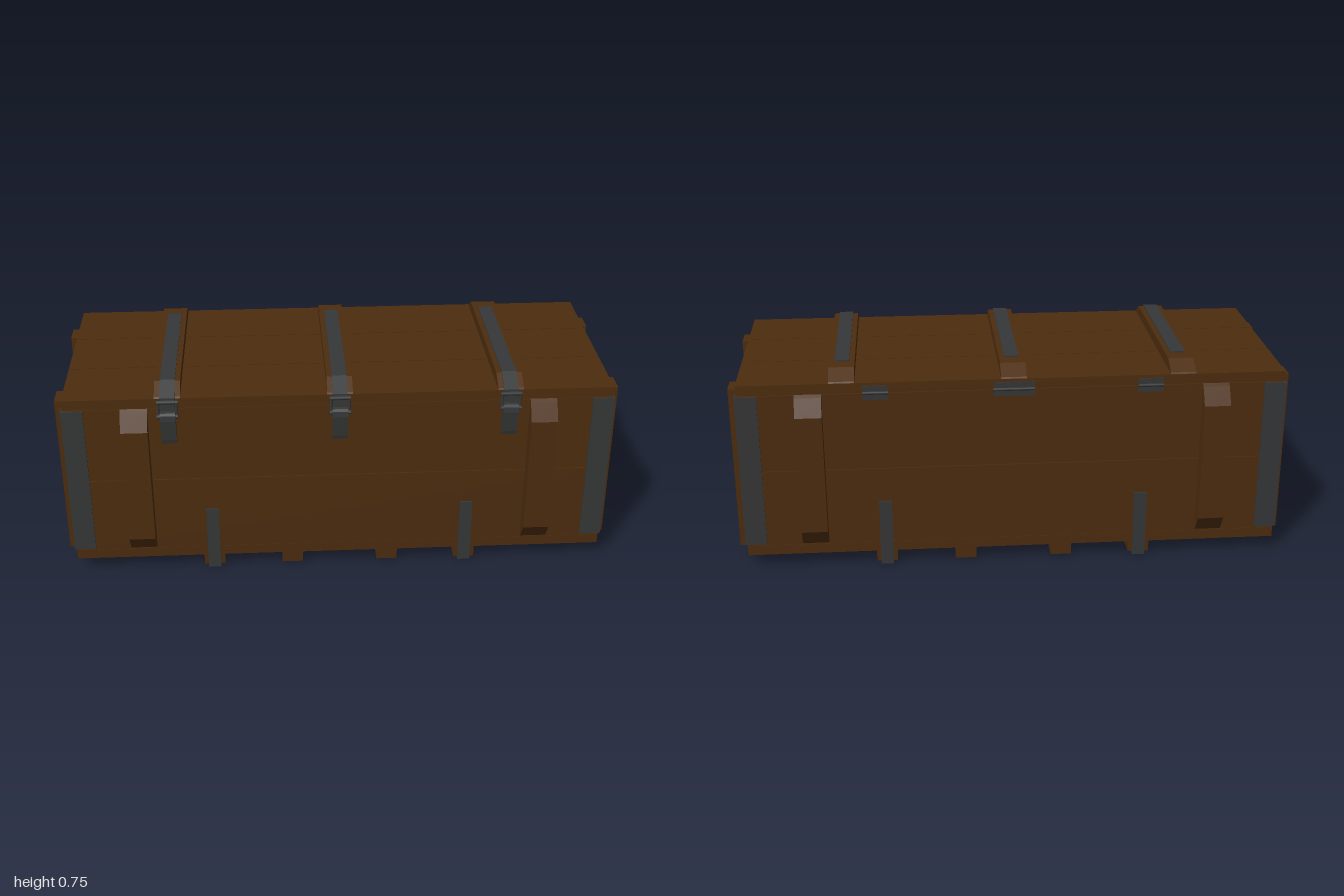
import * as THREE from 'three';

export function createModel() {
  const crate = new THREE.Group();
  crate.name = 'crate';
  const wood = new THREE.MeshStandardMaterial({ color: 0x4d2d0e });
  wood.name = 'brown wood';
  const metal = new THREE.MeshStandardMaterial({ color: 0x363738 });
  metal.name = 'dark metal';

  function add(name, geometry, material, parent = crate) {
    const mesh = new THREE.Mesh(geometry, material);
    mesh.name = name;
    parent.add(mesh);
    return mesh;
  }
  // Box given by its min and max on each axis
  function box(name, material, x0, x1, y0, y1, z0, z1, parent) {
    const mesh = add(name, new THREE.BoxGeometry(x1 - x0, y1 - y0, z1 - z0), material, parent);
    mesh.position.set((x0 + x1) / 2, (y0 + y1) / 2, (z0 + z1) / 2);
    return mesh;
  }
  // [z, y] outline extruded along x, centred on x
  function profile(name, material, points, width, x, parent) {
    const shape = new THREE.Shape(points.map(p => new THREE.Vector2(p[0], p[1])));
    const g = new THREE.ExtrudeGeometry(shape, { depth: width, bevelEnabled: false });
    g.translate(0, 0, -width / 2).rotateY(-Math.PI / 2);
    const mesh = add(name, g, material, parent);
    mesh.position.x = x;
    return mesh;
  }
  function rod(name, length, radius, x, y, z, axis, parent) {
    const g = new THREE.CylinderGeometry(radius, radius, length, 12);
    if (axis === 'x') g.rotateZ(Math.PI / 2);
    if (axis === 'z') g.rotateX(Math.PI / 2);
    const mesh = add(name, g, metal, parent);
    mesh.position.set(x, y, z);
    return mesh;
  }

  // Box body: two courses of boards with a fine seam
  box('lowerBoards', wood, -0.965, 0.965, 0.09, 0.38, -0.37, 0.37);
  box('upperBoards', wood, -0.965, 0.965, 0.383, 0.668, -0.37, 0.37);
  box('seamFill', wood, -0.96, 0.96, 0.37, 0.39, -0.365, 0.365);

  // Three floor boards and three lid boards
  for (const [z0, z1] of [[-0.37, -0.125], [-0.122, 0.122], [0.125, 0.37]]) {
    box('floorBoard', wood, -0.965, 0.965, 0.052, 0.089, z0, z1);
    box('lidBoard', wood, -0.965, 0.965, 0.67, 0.707, z0, z1);
  }

  // Skids under the floor
  for (const x of [-0.463, -0.175, 0.175, 0.463])
    box('skid', wood, x - 0.038, x + 0.038, 0.01, 0.052, -0.37, 0.37);

  // U-shaped straps round the floor
  for (const x of [-0.463, 0.463])
    profile('floorStrap', metal, [
      [-0.376, 0], [0.376, 0], [0.376, 0.252], [0.369, 0.252],
      [0.369, 0.008], [-0.369, 0.008], [-0.369, 0.252], [-0.376, 0.252],
    ], 0.046, x);

  for (const sx of [-1, 1]) {
    for (const sz of [-1, 1]) {
      // Bevelled uprights on the long sides
      const upright = [[0.368, 0.092], [0.38, 0.1], [0.418, 0.16], [0.418, 0.6], [0.38, 0.66], [0.368, 0.67]]
        .map(p => [p[0] * sz, p[1]]);
      profile('sideUpright', wood, upright, 0.094, sx * 0.718);

      // Uprights on the ends
      const end = box('endUpright', wood, -0.0175, 0.0175, 0.057, 0.67, -0.039, 0.039);
      end.position.x = sx * 0.9825;
      end.position.z = sz * 0.259;

      // Corner irons, one plate on each face
      const a = box('cornerIronSide', metal, -0.0385, 0.0385, 0.097, 0.667, -0.004, 0.004);
      a.position.x = sx * 0.9325;
      a.position.z = sz * 0.372;
      const b = box('cornerIronEnd', metal, -0.004, 0.004, 0.097, 0.667, -0.038, 0.038);
      b.position.x = sx * 0.967;
      b.position.z = sz * 0.338;
    }

    // Carrying handle with riveted plate, built facing +z then turned
    const handle = new THREE.Group();
    handle.name = 'handle';
    handle.rotation.y = sx * Math.PI / 2;
    handle.position.x = sx * 0.965;
    crate.add(handle);
    box('handlePlate', metal, -0.123, 0.123, 0.395, 0.536, -0.002, 0.005, handle);
    for (const x of [-0.093, 0.093])
      for (const y of [0.421, 0.514]) {
        const rivet = add('rivet', new THREE.SphereGeometry(0.009, 12, 8), metal, handle);
        rivet.scale.z = 0.5;
        rivet.position.set(x, y, 0.005);
      }
    rod('handlePivot', 0.126, 0.007, 0, 0.466, 0.009, 'x', handle);
    const w = 0.073, top = 0.46, low = 0.389, r = 0.016;
    const corners = [];
    for (const [cx, cy, start] of [[w - r, top - r, 0], [-w + r, top - r, 1], [-w + r, low + r, 2], [w - r, low + r, 3]])
      for (let i = 0; i <= 3; i++) {
        const t = (start + i / 3) * Math.PI / 2;
        const y = cy + r * Math.sin(t);
        corners.push(new THREE.Vector3(cx + r * Math.cos(t), y, 0.01 + (top - y) * 0.05));
      }
    const loop = new THREE.CurvePath();
    corners.forEach((p, i) => loop.add(new THREE.LineCurve3(p, corners[(i + 1) % corners.length])));
    add('handleLoop', new THREE.TubeGeometry(loop, 96, 0.0055, 8, true), metal, handle);
  }

  for (const x of [-0.6, 0, 0.6]) {
    // Lid batten with sloping ends
    profile('lidBatten', wood, [
      [-0.37, 0.705], [0.37, 0.705], [0.365, 0.712], [0.308, 0.745], [-0.308, 0.745], [-0.365, 0.712],
    ], 0.09, x);
    // Metal strip over the batten, bent down at the front
    profile('lidStrip', metal, [
      [-0.25, 0.743], [0.307, 0.743], [0.366, 0.708], [0.369, 0.66],
      [0.376, 0.66], [0.376, 0.711], [0.309, 0.75], [-0.25, 0.75],
    ], 0.052, x);

    // Clasp: catch on the lid, rod, and lever on the body
    const clasp = new THREE.Group();
    clasp.name = 'clasp';
    clasp.position.x = x;
    crate.add(clasp);
    box('catchPlate', metal, -0.026, 0.026, 0.675, 0.705, 0.37, 0.379, clasp);
    rod('catchRod', 0.074, 0.007, 0, 0.698, 0.381, 'x', clasp);
    for (const s of [-1, 1])
      rod('claspLink', 0.058, 0.005, s * 0.032, 0.67, 0.382, 'y', clasp);
    rod('leverRod', 0.074, 0.008, 0, 0.645, 0.386, 'x', clasp);
    profile('lever', metal, [
      [0.369, 0.535], [0.38, 0.535], [0.384, 0.55], [0.396, 0.63], [0.394, 0.65], [0.386, 0.657], [0.369, 0.657],
    ], 0.054, 0, clasp);
  }

  // Hinges at the back, wide in the middle
  for (const [x, width] of [[-0.485, 0.09], [0, 0.145], [0.485, 0.09]]) {
    box('hingeLeaf', metal, x - width / 2, x + width / 2, 0.645, 0.696, -0.374, -0.368);
    rod('hingePin', width, 0.006, x, 0.67, -0.373, 'x');
  }

  return crate;
}
